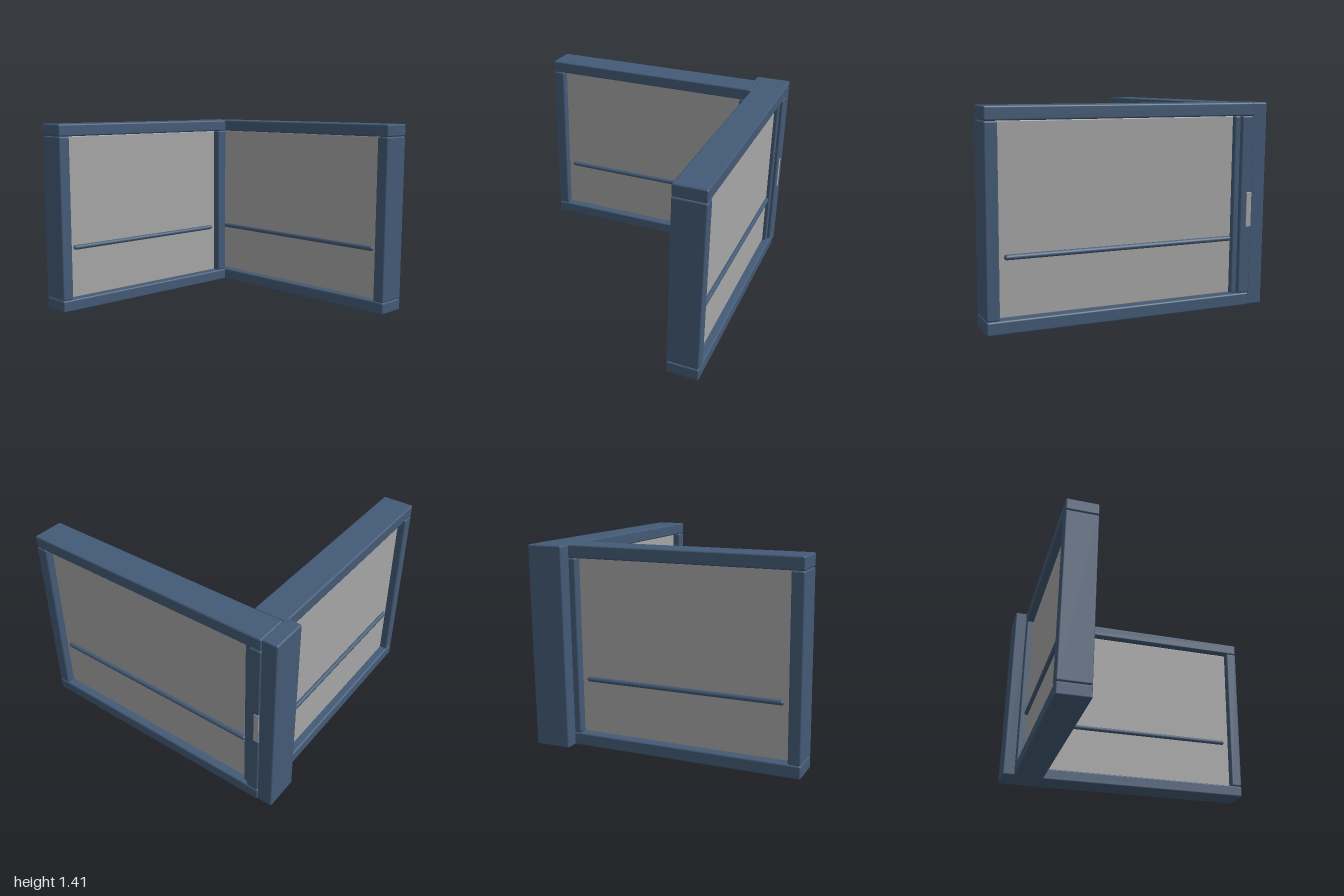
import * as THREE from 'three';
import { RoundedBoxGeometry } from 'three/addons/geometries/RoundedBoxGeometry.js';

const frameMat = new THREE.MeshStandardMaterial({ color: 0x435a76 });
frameMat.name = 'slate blue frame';
const panelMat = new THREE.MeshStandardMaterial({ color: 0xa6a6a6 });
panelMat.name = 'grey panel';

const HEIGHT = 1.41, RAIL = 0.09, DEPTH = 0.23;

// Rounded box given by its minimum and maximum corners
function block(name, min, max, mat = frameMat, radius = 0.012) {
  const size = max.map((v, i) => v - min[i]);
  const mesh = new THREE.Mesh(new RoundedBoxGeometry(...size, 2, radius), mat);
  mesh.position.set(...max.map((v, i) => (v + min[i]) / 2));
  mesh.name = name;
  return mesh;
}

// One framed wall running along local x from a to b, centred on local z
function wall(name, a, b) {
  const g = new THREE.Group();
  g.name = name;
  const d = DEPTH / 2, top = HEIGHT - RAIL;
  g.add(block('bottomRail', [a, 0, -d], [b, RAIL, d]));
  g.add(block('topRail', [a, top, -d], [b, HEIGHT, d]));
  for (const [x0, x1] of [[a, a + 0.088], [b - 0.088, b]]) {
    g.add(block('jamb', [x0, RAIL, -d], [x1, top, d]));
  }
  g.add(block('panel', [a + 0.085, RAIL, -0.06], [b - 0.085, top, 0.06], panelMat, 0.008));

  // Slim rounded bar on each face of the panel
  const r = 0.018, start = a + 0.13, end = b - 0.13;
  for (const side of [-1, 1]) {
    const bar = new THREE.Mesh(new THREE.CapsuleGeometry(r, end - start - 2 * r, 4, 12), frameMat);
    bar.rotation.z = Math.PI / 2;
    bar.position.set((start + end) / 2, 0.478, side * 0.068);
    bar.name = 'bar';
    g.add(bar);
  }
  return g;
}

export function createModel() {
  const model = new THREE.Group();
  model.name = 'cornerPartition';

  const back = wall('backWall', -0.89, 0.995);
  back.position.z = -0.843;
  // Stop strip beside the hinge jamb
  back.add(block('stopStrip', [-0.81, RAIL, -0.09], [-0.76, HEIGHT - RAIL, 0.09]));
  // Small latch plate at the post
  back.add(block('latchPlate', [-0.888, 0.56, -0.118], [-0.85, 0.8, -0.11], panelMat, 0.002));
  model.add(back);

  // Side wall turned so that its local x runs towards -z
  const side = wall('sideWall', -0.955, 0.73);
  side.rotation.y = Math.PI / 2;
  side.position.x = -0.795;
  model.add(side);

  model.add(block('cornerPost', [-1, 0, -0.95], [-0.885, HEIGHT, -0.69]));
  return model;
}
